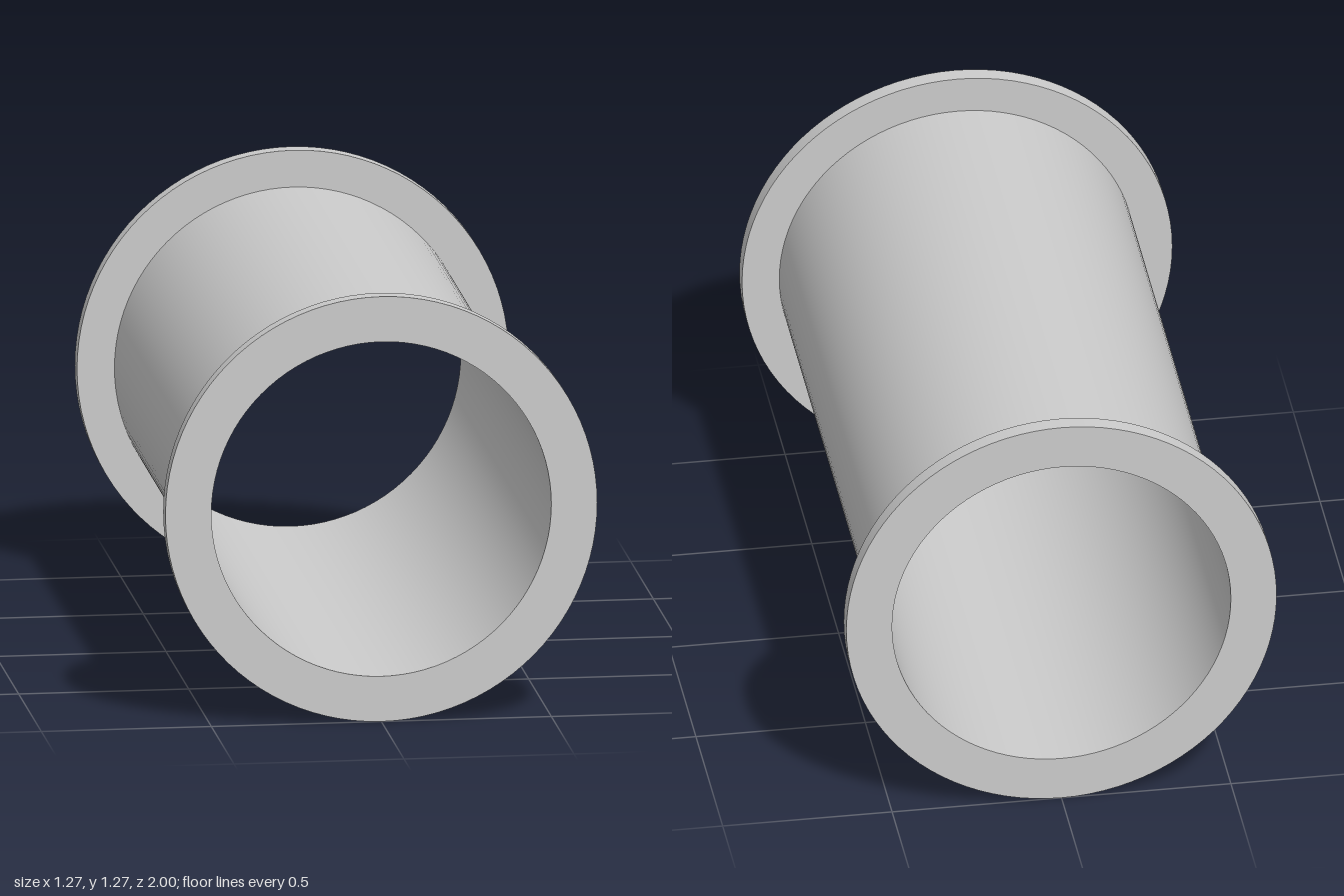
import * as THREE from 'three';
import { mergeGeometries } from 'three/addons/utils/BufferGeometryUtils.js';

const BORE = 0.5, PIPE = 0.525, RIM = 0.635;
const END = 1, INNER = 0.95, SEGMENTS = 96;

// Revolves each straight profile edge [r0, z0, r1, z1] separately, so corners stay sharp.
function revolve(edges) {
  const parts = edges.map(([r0, z0, r1, z1]) =>
    new THREE.LatheGeometry([new THREE.Vector2(r0, z0), new THREE.Vector2(r1, z1)], SEGMENTS));
  return mergeGeometries(parts).rotateX(Math.PI / 2);
}

export function createModel() {
  const metal = new THREE.MeshStandardMaterial({ color: 0xcccccc });
  metal.name = 'light grey metal';

  const model = new THREE.Group();
  model.name = 'flangedPipe';

  const add = (name, geometry, turn = 0) => {
    const mesh = new THREE.Mesh(geometry, metal);
    mesh.name = name;
    mesh.position.y = RIM;
    mesh.rotation.y = turn;
    model.add(mesh);
  };

  // Pipe wall: outside between the flanges, bore running right through
  add('pipe', revolve([
    [PIPE, -INNER, PIPE, INNER],
    [BORE, END, BORE, -END],
  ]));

  // Flange ring: shoulder, rim and end face
  const flange = revolve([
    [PIPE, INNER, RIM, INNER],
    [RIM, INNER, RIM, END],
    [RIM, END, BORE, END],
  ]);
  add('frontFlange', flange);
  add('backFlange', flange, Math.PI);

  return model;
}
